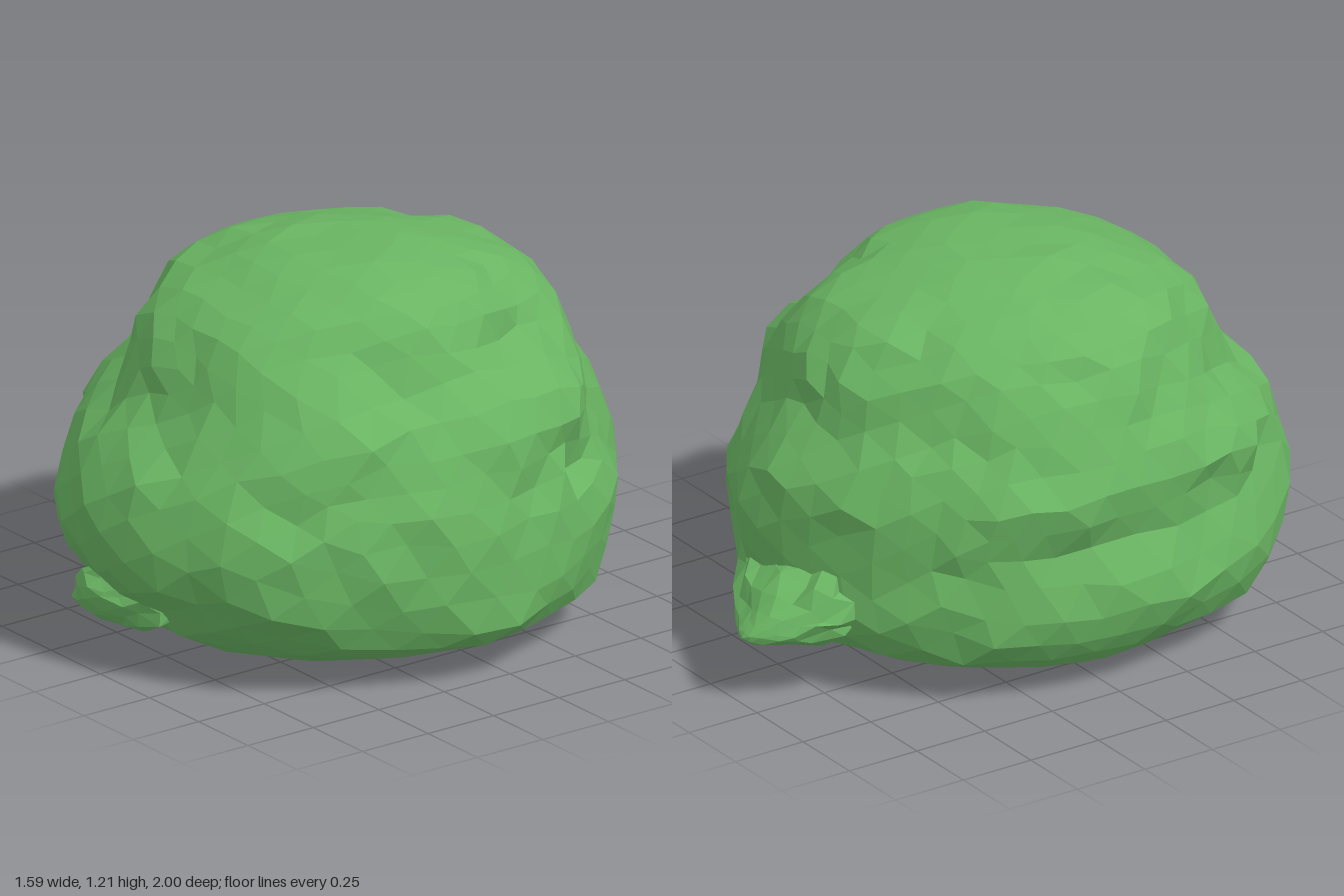
import * as THREE from 'three';
import { mergeVertices } from 'three/addons/utils/BufferGeometryUtils.js';

const leafGreen = new THREE.MeshStandardMaterial({ color: 0x69b462 });
leafGreen.name = 'leafGreen';

// Evenly spaced latitudes, bottom to top: height, reach to -x, +x, -z, +z
const RINGS = [
  [0.0, 0, 0, 0, 0],
  [0.005, 0.26, 0.24, 0.2, 0.33],
  [0.022, 0.51, 0.44, 0.4, 0.57],
  [0.07, 0.66, 0.64, 0.6, 0.73],
  [0.15, 0.76, 0.78, 0.77, 0.85],
  [0.3, 0.805, 0.8, 0.82, 0.965],
  [0.49, 0.745, 0.785, 0.83, 1.005],
  [0.66, 0.775, 0.755, 0.79, 0.925],
  [0.82, 0.69, 0.735, 0.685, 0.765],
  [0.97, 0.625, 0.555, 0.635, 0.7],
  [1.09, 0.555, 0.485, 0.515, 0.59],
  [1.165, 0.36, 0.39, 0.33, 0.41],
  [1.21, 0.18, 0.22, 0.17, 0.24],
  [1.215, 0, 0, 0, 0],
];

// Folds and swellings: x, y, z, radius, depth (negative goes inward)
const DENTS = [
  [-0.62, 0.6, 0.36, 0.13, -0.06],
  [-0.74, 0.47, 0.1, 0.12, -0.03],
  [-0.7, 0.45, -0.2, 0.1, -0.04],
  [-0.58, 0.17, 0.58, 0.22, 0.055],
  [-0.45, 1.06, 0.22, 0.18, 0.03],
  [0.72, 0.6, -0.14, 0.1, -0.04],
  [0.66, 0.61, -0.36, 0.1, -0.05],
  [0.54, 0.93, -0.22, 0.13, -0.05],
  [0.55, 0.8, 0.22, 0.14, -0.05],
  [0.64, 0.74, -0.36, 0.12, 0.04],
];

function ringAt(t) {
  const s = t * (RINGS.length - 1);
  const i = Math.min(Math.floor(s), RINGS.length - 2);
  return RINGS[i].map((v, k) => THREE.MathUtils.lerp(v, RINGS[i + 1][k], s - i));
}

// Broad rounded clumps plus finer leafy unevenness
function lumps(x, y, z) {
  const clump = Math.abs(Math.sin(5.2 * x + 2.1 * y + 0.6) * Math.cos(5 * z - 3.2 * y))
    + Math.abs(Math.sin(6.1 * y + 3 * z + 1.2 * x));
  const fine = Math.sin(17 * x + 9 * y) * Math.sin(15 * z - 11 * y + 1);
  return 0.022 * (clump - 1.35) + 0.01 * fine;
}

function seeded(seed) {
  return () => {
    seed = (seed * 16807) % 2147483647;
    return seed / 2147483647 - 0.5;
  };
}

// Welded sphere whose vertices are moved by a rule, then faceted
function faceted(detail, rule) {
  let geo = new THREE.IcosahedronGeometry(1, detail);
  geo.deleteAttribute('normal');
  geo.deleteAttribute('uv');
  geo = mergeVertices(geo, 1e-4);
  const pos = geo.attributes.position;
  const p = new THREE.Vector3();
  for (let i = 0; i < pos.count; i++) {
    p.fromBufferAttribute(pos, i).normalize();
    rule(p);
    pos.setXYZ(i, p.x, p.y, p.z);
  }
  geo = geo.toNonIndexed();
  geo.computeVertexNormals();
  return geo;
}

// Main mass: broad in front, narrowing towards the back
function foliage() {
  const rnd = seeded(731);
  return faceted(7, (p) => {
    const dir = p.clone();
    const t = 0.5 + Math.asin(THREE.MathUtils.clamp(p.y, -1, 1)) / Math.PI;
    const [y, xl, xr, zb, zf] = ringAt(t);
    const a = Math.atan2(p.z, p.x);
    const c = Math.cos(a), s = Math.sin(a);
    const n = s < 0 ? 1.75 : 2.1;
    const squash = Math.pow(Math.pow(Math.abs(c), n) + Math.pow(Math.abs(s), n), -1 / n);
    p.set(c * squash * (c < 0 ? xl : xr), y, s * squash * (s < 0 ? zb : zf));
    let d = lumps(p.x, p.y, p.z);
    for (const [dx, dy, dz, r, depth] of DENTS) {
      const q = (p.x - dx) ** 2 + (p.y - dy) ** 2 + (p.z - dz) ** 2;
      d += depth * Math.exp(-q / (r * r));
    }
    // The underside stays smooth and flat
    const rough = THREE.MathUtils.smoothstep(y, 0.01, 0.25);
    const topCalm = 1 - 0.6 * THREE.MathUtils.smoothstep(y, 1.0, 1.2);
    p.addScaledVector(dir, d * rough * topCalm);
    const j = 0.026 * rough;
    p.x += rnd() * j;
    p.y += rnd() * j * topCalm;
    p.z += rnd() * j;
  });
}

// Pointed tuft low at the back, fanning out where it joins the main mass
function backTuft() {
  const rnd = seeded(97);
  return faceted(3, (p) => {
    const taper = p.z < 0 ? 1 + 0.65 * p.z : 1;
    const j = 0.05 * (1 + Math.min(p.z, 0));
    p.set(
      -0.07 + 0.1 * p.z + p.x * 0.29 * taper + rnd() * j,
      0.27 + 0.05 * p.z + p.y * 0.145 * taper + rnd() * j,
      -0.75 + 0.25 * p.z + rnd() * j
    );
  });
}

// Small leafy ledge low at the front
function frontTuft() {
  const rnd = seeded(41);
  return faceted(2, (p) => {
    p.set(
      -0.06 + p.x * 0.25 + rnd() * 0.03,
      0.2 + p.y * 0.095 + 0.03 * p.x + rnd() * 0.025,
      0.84 + p.z * 0.12 + rnd() * 0.025
    );
  });
}

export function createModel() {
  const bush = new THREE.Group();
  bush.name = 'bush';
  const parts = { foliage: foliage(), backTuft: backTuft(), frontTuft: frontTuft() };
  for (const [name, geo] of Object.entries(parts)) {
    const mesh = new THREE.Mesh(geo, leafGreen);
    mesh.name = name;
    bush.add(mesh);
  }
  return bush;
}
